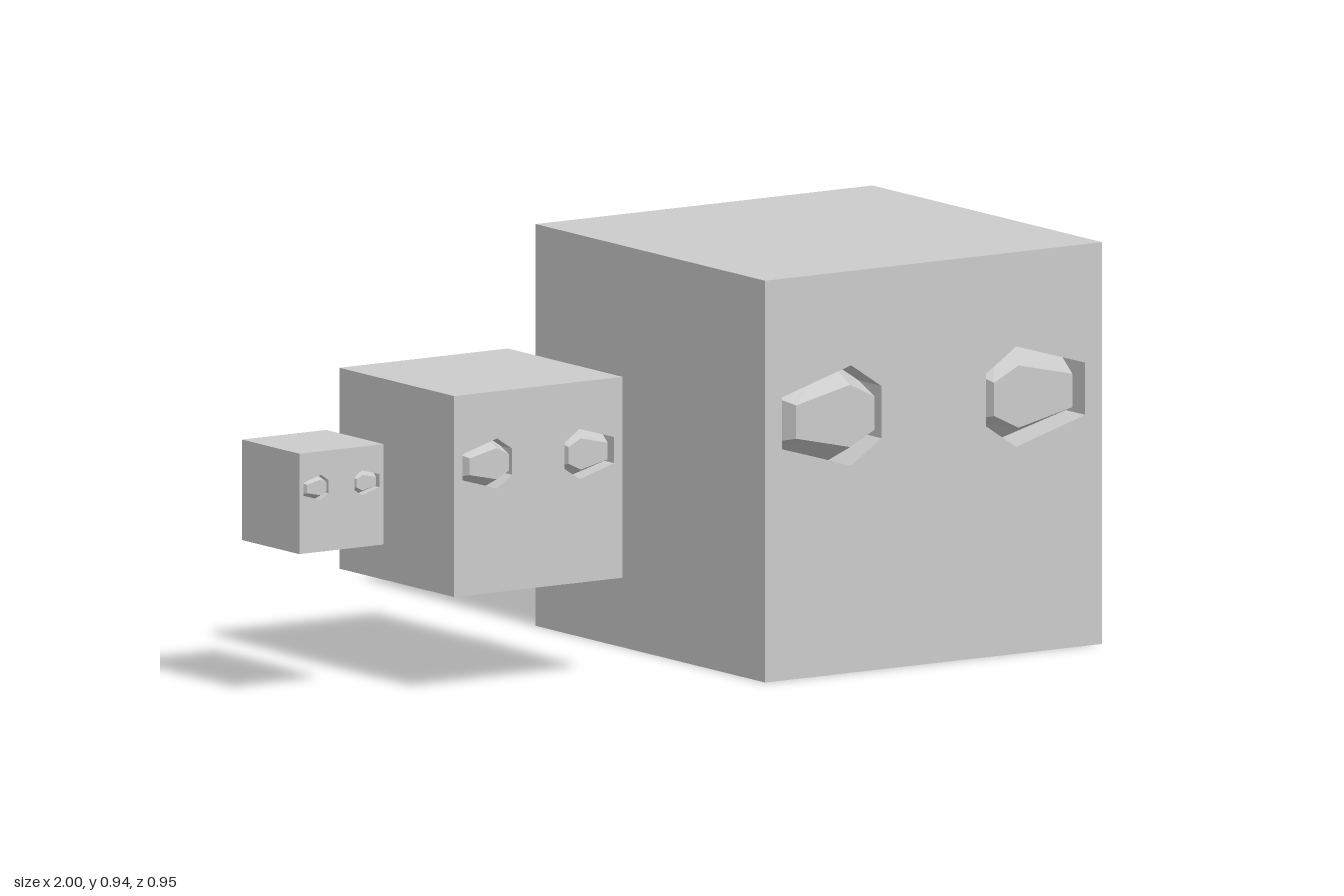
import * as THREE from 'three';

const material = new THREE.MeshStandardMaterial({ color: 0xcccccc, flatShading: true });

// All shapes below are for a cube with half-side 1; the cubes are scaled copies.
const EYE_Y = 0.28;
const GROOVE_DEPTH = 0.2;
const CAP_LIFT = 0.006;

// Six-sided eye outline, counter-clockwise; side -1 or 1 mirrors it.
function eyeOutline(side, xOuter, xPeak, xInner, ySide, yPeak) {
  const pts = [
    [-xOuter, -ySide], [-xPeak, -yPeak], [-xInner, -ySide],
    [-xInner, ySide], [-xPeak, yPeak], [-xOuter, ySide],
  ].map(([x, y]) => new THREE.Vector2(-side * x, EYE_Y + y));
  return side > 0 ? pts.reverse() : pts;
}
const socketOutline = (side) => eyeOutline(side, 0.9, 0.49, 0.31, 0.13, 0.25);
const capOutline = (side) => eyeOutline(side, 0.82, 0.5, 0.355, 0.083, 0.155);

// Square face with two eye sockets cut out
function faceGeometry() {
  const shape = new THREE.Shape([[-1, -1], [1, -1], [1, 1], [-1, 1]].map((p) => new THREE.Vector2(...p)));
  for (const side of [-1, 1]) shape.holes.push(new THREE.Path(socketOutline(side)));
  return new THREE.ShapeGeometry(shape).translate(0, 0, 1);
}

// Straight socket wall going in, sloped sides coming back out, flat cap
function eyeGeometry(side) {
  const ring = (pts, z) => pts.map((p) => new THREE.Vector3(p.x, p.y, z));
  const cap = ring(capOutline(side), 1 + CAP_LIFT);
  const centre = new THREE.Vector3();
  cap.forEach((p) => centre.addScaledVector(p, 1 / cap.length));
  const rings = [
    ring(socketOutline(side), 1),
    ring(socketOutline(side), 1 - GROOVE_DEPTH),
    cap,
  ];
  const tris = [];
  const n = cap.length;
  for (let i = 0; i < n; i++) {
    const j = (i + 1) % n;
    for (let r = 0; r < 2; r++) {
      const a = rings[r], b = rings[r + 1];
      tris.push(a[i], a[j], b[j], a[i], b[j], b[i]);
    }
    tris.push(cap[i], cap[j], centre);
  }
  const geometry = new THREE.BufferGeometry().setFromPoints(tris);
  geometry.computeVertexNormals();
  return geometry;
}

function addMesh(parent, geometry, name) {
  const mesh = new THREE.Mesh(geometry, material);
  mesh.name = name;
  parent.add(mesh);
}

export function createModel() {
  const model = new THREE.Group();
  model.name = 'cubes';

  // Four plain sides, open towards front and back
  const sides = new THREE.CylinderGeometry(Math.SQRT2, Math.SQRT2, 2, 4, 1, true, Math.PI / 4).rotateX(Math.PI / 2);
  const face = faceGeometry();
  const eyes = { rightEye: eyeGeometry(-1), leftEye: eyeGeometry(1) };

  const cubes = [
    ['largeCube', 0.53, 0.47],
    ['mediumCube', -0.413, 0.235],
    ['smallCube', -0.8825, 0.1175],
  ];
  for (const [name, x, half] of cubes) {
    const cube = new THREE.Group();
    cube.name = name;
    cube.position.set(x, 0.47, 0);
    cube.scale.setScalar(half);
    addMesh(cube, sides, 'sides');

    // The same face with eyes on front and back
    ['frontFace', 'backFace'].forEach((faceName, k) => {
      const group = new THREE.Group();
      group.name = faceName;
      group.rotation.y = k * Math.PI;
      addMesh(group, face, 'facePanel');
      for (const [eyeName, geometry] of Object.entries(eyes)) addMesh(group, geometry, eyeName);
      cube.add(group);
    });
    model.add(cube);
  }
  return model;
}
